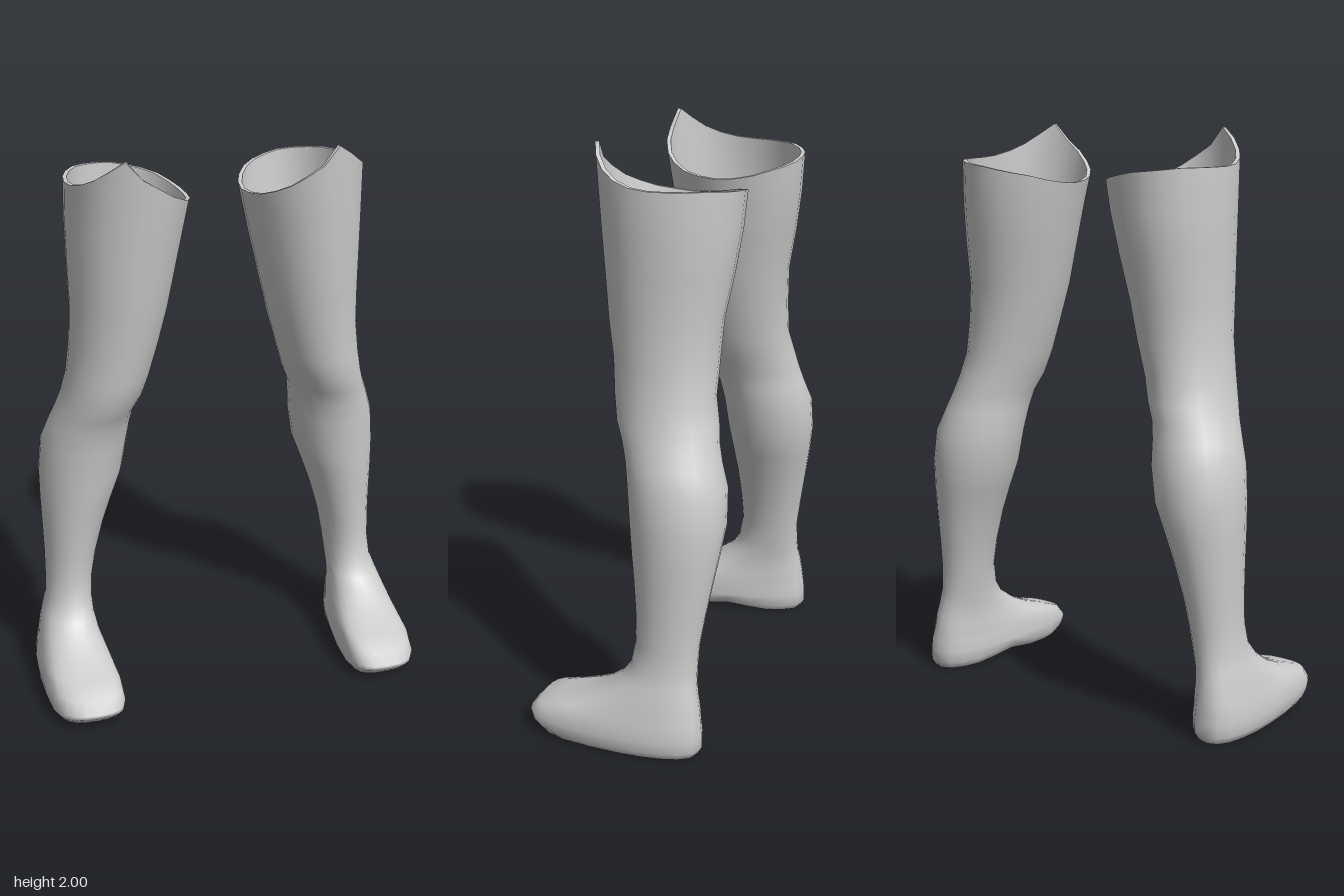
import * as THREE from 'three';

const SEG = 24;
const WALL = 0.014;

// Cuff height around the top edge, from the front towards the outer side, then back and inner side
const CUFF = [1.94, 2.0, 1.965, 1.93, 1.905, 1.89, 1.885, 1.885, 1.885, 1.885, 1.88, 1.875,
  1.87, 1.86, 1.85, 1.84, 1.825, 1.815, 1.81, 1.815, 1.825, 1.845, 1.87, 1.905];

// Cross-sections: height, inner x, outer x, front z, back z, foot shape (0 = round leg, 1 = foot)
const SECTIONS = [
  [1.9, 0.095, 0.51, 0.165, -0.328, 0],
  [1.74, 0.11, 0.513, 0.146, -0.318, 0],
  [1.6, 0.14, 0.512, 0.13, -0.298, 0],
  [1.45, 0.173, 0.51, 0.114, -0.27, 0],
  [1.32, 0.205, 0.515, 0.092, -0.264, 0],
  [1.2, 0.24, 0.53, 0.08, -0.262, 0],
  [1.12, 0.265, 0.548, 0.066, -0.28, 0],
  [1.06, 0.292, 0.568, 0.038, -0.29, 0],
  [1.0, 0.302, 0.592, 0.018, -0.305, 0],
  [0.92, 0.312, 0.62, 0.003, -0.332, 0],
  [0.8, 0.332, 0.632, -0.01, -0.336, 0],
  [0.7, 0.37, 0.632, -0.022, -0.322, 0],
  [0.6, 0.405, 0.63, -0.035, -0.305, 0],
  [0.48, 0.438, 0.628, -0.046, -0.285, 0],
  [0.38, 0.457, 0.63, -0.05, -0.27, 0],
  [0.3, 0.466, 0.636, -0.035, -0.268, 0.1],
  [0.25, 0.468, 0.652, 0.0, -0.27, 0.2],
  [0.2, 0.463, 0.667, 0.07, -0.28, 0.4],
  [0.165, 0.452, 0.676, 0.14, -0.286, 0.6],
  [0.135, 0.442, 0.684, 0.22, -0.29, 0.8],
  [0.11, 0.434, 0.69, 0.3, -0.293, 1],
  [0.07, 0.428, 0.696, 0.335, -0.297, 1],
  [0.03, 0.432, 0.692, 0.332, -0.297, 1],
  [0.004, 0.452, 0.676, 0.3, -0.282, 1],
];

const bend = (v, p) => Math.sign(v) * Math.pow(Math.abs(v), p);

// One closed ring of points, shrunk by inset for the lining
function ring([y, xIn, xOut, zF, zB, foot], top, inset) {
  const cx = (xIn + xOut) / 2, cz = (zF + zB) / 2;
  const rx = (xOut - xIn) / 2 - inset, rz = (zF - zB) / 2 - inset;
  const pts = [];
  for (let i = 0; i < SEG; i++) {
    const a = (i / SEG) * Math.PI * 2, s = Math.sin(a), c = Math.cos(a);
    const p = 1 - 0.2 * foot;
    const x = cx + rx * bend(s, p) - 0.02 * foot * c;
    const z = cz + rz * bend(c, p) + 0.08 * foot * s * s;
    let h = top ? CUFF[i] : y;
    if (y < 0.05) {
      h += 0.022 * Math.max(0, (z - 0.22) / 0.1); // toe lift
      if (s < 0) h += 0.025 * s * s * Math.max(0, 1 - Math.abs(z + 0.03) / 0.15); // arch
    }
    pts.push([x, h, z]);
  }
  return pts;
}

// Skin over rings listed from top to bottom; cap closes the last ring
function loft(rings, side, inward, cap) {
  const pos = [], idx = [];
  const flip = (side < 0) !== inward;
  const tri = (a, b, c) => (flip ? idx.push(a, c, b) : idx.push(a, b, c));
  rings.forEach((r) => r.forEach(([x, y, z]) => pos.push(side * x, y, z)));
  for (let r = 0; r < rings.length - 1; r++) {
    for (let i = 0; i < SEG; i++) {
      const j = (i + 1) % SEG;
      const a = r * SEG + i, b = r * SEG + j;
      tri(a, a + SEG, b + SEG);
      tri(a, b + SEG, b);
    }
  }
  if (cap) {
    const base = (rings.length - 1) * SEG, last = rings[rings.length - 1];
    const mid = [0, 1, 2].map((k) => last.reduce((sum, p) => sum + p[k], 0) / SEG);
    pos.push(side * mid[0], mid[1], mid[2]);
    for (let i = 0; i < SEG; i++) tri(base + i, rings.length * SEG, base + ((i + 1) % SEG));
  }
  const g = new THREE.BufferGeometry();
  g.setAttribute('position', new THREE.Float32BufferAttribute(pos, 3));
  g.setIndex(idx);
  g.computeVertexNormals();
  return g;
}

export function createModel() {
  const model = new THREE.Group();
  model.name = 'legs';
  const material = new THREE.MeshStandardMaterial({ color: 0xcccccc });

  const outer = SECTIONS.map((s, i) => ring(s, i === 0, 0));
  const inner = SECTIONS.slice(0, -2).map((s, i) => ring(s, i === 0, WALL));

  for (const side of [1, -1]) {
    const leg = new THREE.Group();
    leg.name = side > 0 ? 'leftLeg' : 'rightLeg';
    const add = (name, geometry) => {
      const mesh = new THREE.Mesh(geometry, material);
      mesh.name = name;
      leg.add(mesh);
    };
    // Thigh, calf and foot in one skin
    add('legShell', loft(outer, side, false, true));
    // Hollow inside
    add('lining', loft(inner, side, true, true));
    // Edge joining shell and lining at the cuff
    add('cuffEdge', loft([inner[0], outer[0]], side, false, false));
    model.add(leg);
  }
  return model;
}
